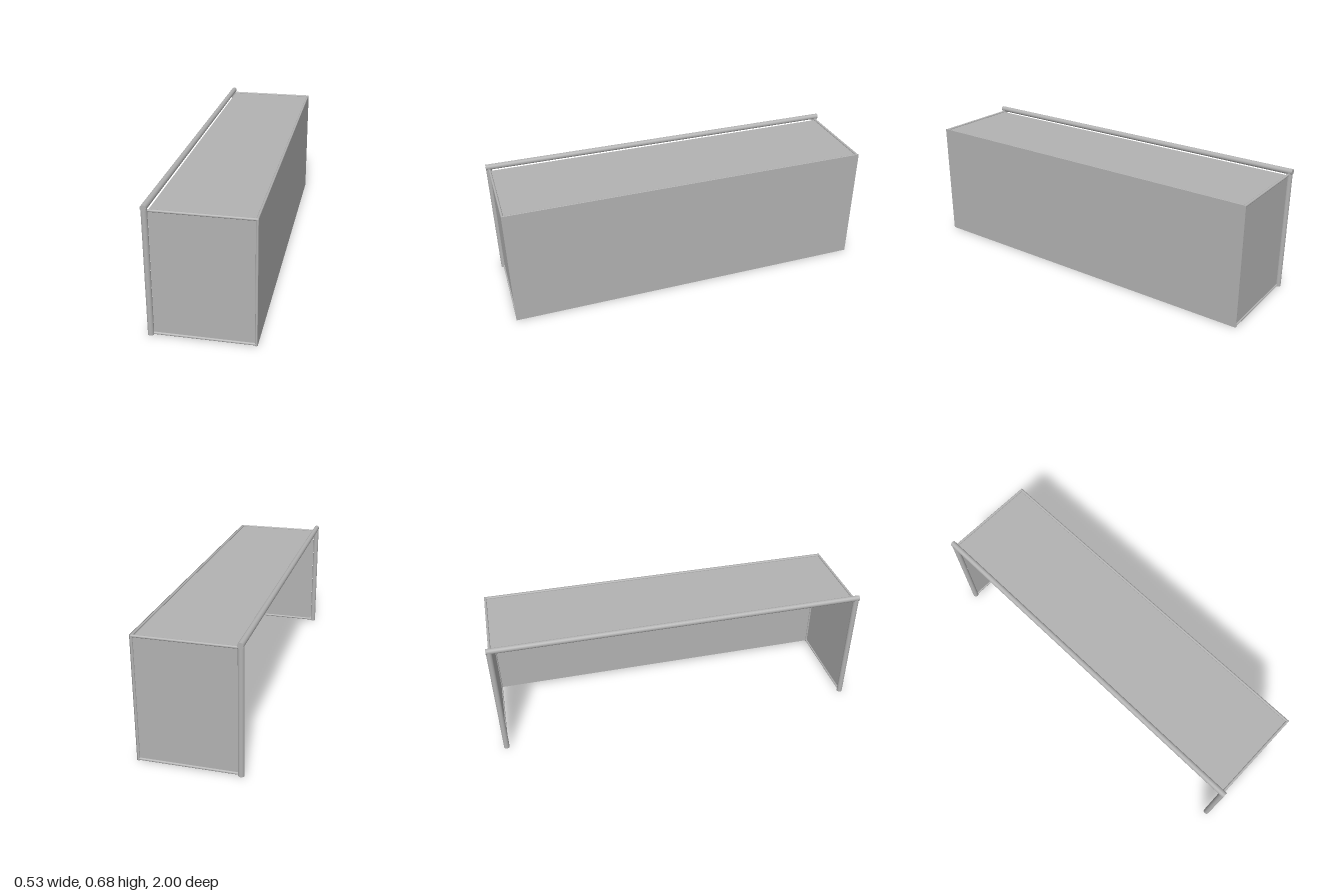
import * as THREE from 'three';

export function createModel() {
  const model = new THREE.Group();
  const grey = new THREE.MeshStandardMaterial({ color: 0xb2b2b2, side: THREE.DoubleSide });

  const postX = -0.25, postR = 0.015, barY = 0.661, postZ = 0.985;
  const tubeR = 0.0065, backX = 0.2565, roofY = 0.6455, sideZ = 0.982, footY = 0.0075;

  // round bar between two points
  function bar(name, a, b, radius) {
    const from = new THREE.Vector3(...a), to = new THREE.Vector3(...b);
    const dir = to.clone().sub(from);
    const mesh = new THREE.Mesh(new THREE.CylinderGeometry(radius, radius, dir.length(), 32), grey);
    mesh.position.copy(from).add(to).multiplyScalar(0.5);
    mesh.quaternion.setFromUnitVectors(new THREE.Vector3(0, 1, 0), dir.normalize());
    mesh.name = name;
    model.add(mesh);
  }

  // flat sheet, turned by rx / ry
  function sheet(name, w, h, pos, rx, ry) {
    const mesh = new THREE.Mesh(new THREE.PlaneGeometry(w, h), grey);
    mesh.position.set(...pos);
    mesh.rotation.set(rx, ry, 0);
    mesh.name = name;
    model.add(mesh);
  }

  // rounded corner where two thin tubes meet
  function joint(name, pos) {
    const mesh = new THREE.Mesh(new THREE.SphereGeometry(tubeR, 16, 12), grey);
    mesh.position.set(...pos);
    mesh.name = name;
    model.add(mesh);
  }

  // thick front frame
  bar('crossbar', [postX, barY, -1], [postX, barY, 1], postR);

  const frontX = postX + postR;
  const depth = backX - frontX, midX = (backX + frontX) / 2;

  // posts, thin tubes and side panels, mirrored
  for (const [side, s] of [['front', 1], ['rear', -1]]) {
    const z = s * sideZ;
    bar(side + 'Post', [postX, 0, s * postZ], [postX, barY, s * postZ], postR);
    bar(side + 'TopTube', [postX, roofY, z], [backX, roofY, z], tubeR);
    bar(side + 'BottomTube', [postX, footY, z], [backX, footY, z], tubeR);
    bar(side + 'BackTube', [backX, 0, z], [backX, roofY, z], tubeR);
    joint(side + 'TopJoint', [backX, roofY, z]);
    sheet(side + 'SidePanel', depth, roofY, [midX, roofY / 2, z], 0, 0);
  }
  bar('upperBackTube', [backX, roofY, -sideZ], [backX, roofY, sideZ], tubeR);

  // roof and back panels
  sheet('roofPanel', depth, 2 * sideZ, [midX, roofY - 0.0015, 0], -Math.PI / 2, 0);
  const backTop = roofY + tubeR;
  sheet('backPanel', 2 * (sideZ + tubeR), backTop, [backX + tubeR, backTop / 2, 0], 0, Math.PI / 2);

  return model;
}
